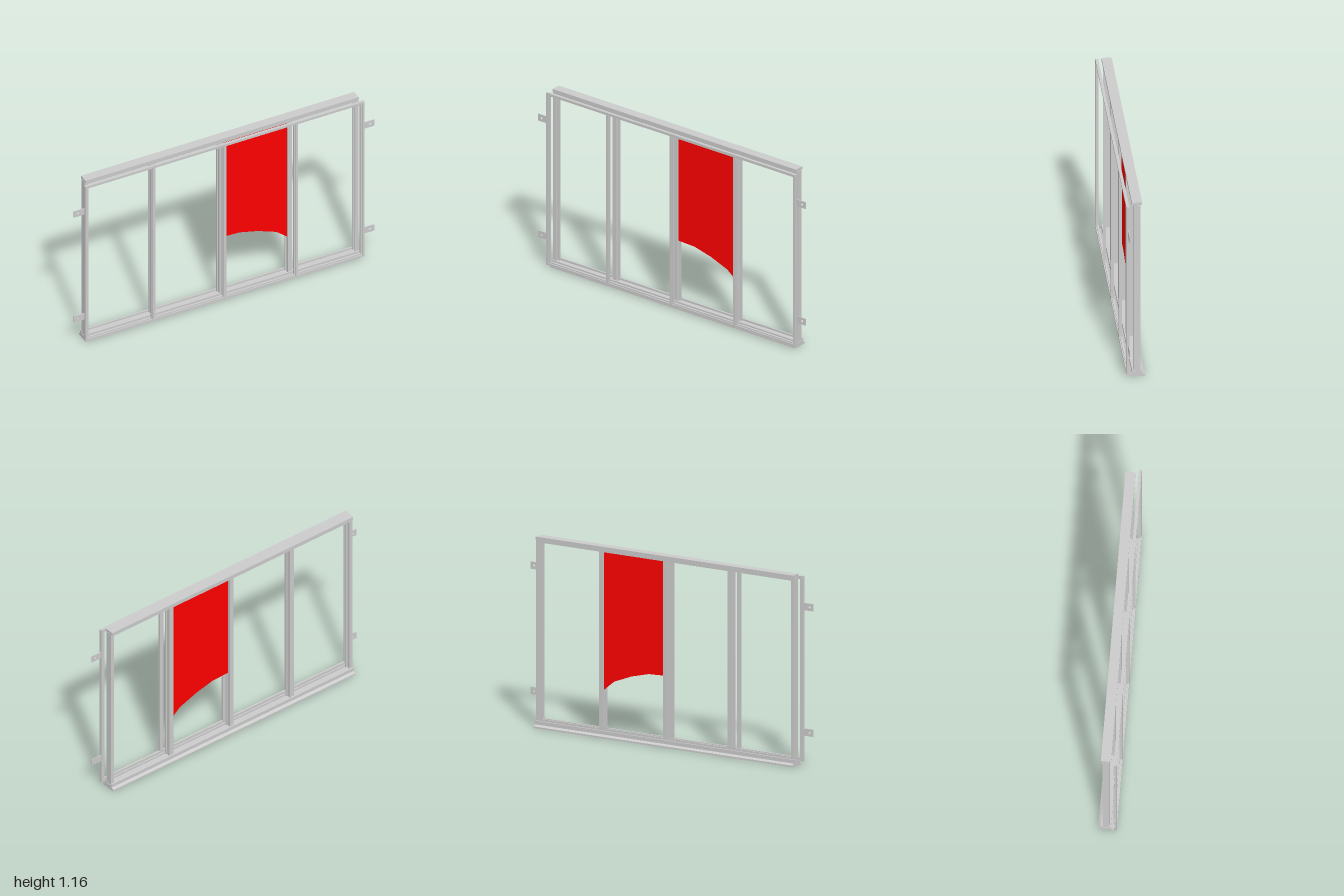
import * as THREE from 'three';

const grey = new THREE.MeshStandardMaterial({ color: 0xcccccc });
const red = new THREE.MeshStandardMaterial({ color: 0xff0000, side: THREE.DoubleSide });

const shapeOf = (pts) => new THREE.Shape(pts.map(([a, b]) => new THREE.Vector2(a, b)));
const extrude = (shape, depth) => new THREE.ExtrudeGeometry(shape, { depth, bevelEnabled: false, curveSegments: 8 });

function add(parent, name, geometry, material = grey) {
  const mesh = new THREE.Mesh(geometry, material);
  mesh.name = name;
  parent.add(mesh);
  return mesh;
}

// Horizontal bar: profile points are [z, y], swept along x and centred
function bar(parent, name, profile, length) {
  const g = extrude(shapeOf(profile), length);
  g.translate(0, 0, -length / 2).rotateY(-Math.PI / 2);
  return add(parent, name, g);
}

// Upright: profile points are [x, z], swept from y0 to y1
function upright(parent, name, profile, x, y0, y1) {
  const g = extrude(shapeOf(profile), y1 - y0);
  g.rotateX(Math.PI / 2).translate(x, y1, 0);
  return add(parent, name, g);
}

// H section with grooves on both sides: half width w, web half width c, depth z0..z1, flange thickness t
const hSection = (w, c, z0, z1, t) => [
  [-w, z0], [w, z0], [w, z0 + t], [c, z0 + t], [c, z1 - t], [w, z1 - t], [w, z1],
  [-w, z1], [-w, z1 - t], [-c, z1 - t], [-c, z0 + t], [-w, z0 + t],
];

// Channel open toward -x, outer face at x = 0
const channel = (w, t, z0, z1) => [
  [0, z0], [0, z1], [-w, z1], [-w, z1 - t], [-t, z1 - t], [-t, z0 + t], [-w, z0 + t], [-w, z0],
];
const mirrorX = (pts) => pts.map(([x, z]) => [-x, z]);

export function createModel() {
  const model = new THREE.Group();

  // Main frame: flared sill, header, posts
  const main = new THREE.Group();
  main.name = 'mainFrame';
  model.add(main);
  bar(main, 'sill', [
    [-0.055, 0], [0.035, 0], [0.035, 0.01], [0.02, 0.02], [0.02, 0.042], [0.012, 0.042],
    [0.012, 0.03], [-0.03, 0.03], [-0.03, 0.042], [-0.04, 0.042], [-0.04, 0.02], [-0.055, 0.01],
  ], 1.83);
  bar(main, 'header', [
    [-0.04, 1.157], [-0.04, 1.14], [-0.03, 1.14], [-0.03, 1.122], [-0.02, 1.122], [-0.02, 1.136],
    [0.002, 1.136], [0.002, 1.122], [0.012, 1.122], [0.012, 1.14], [0.02, 1.14], [0.02, 1.157],
  ], 1.82);
  for (const x of [-0.455, 0, 0.455]) {
    upright(main, 'mullion', hSection(0.014, 0.007, -0.03, 0.012, 0.01), x, 0.03, 1.137);
  }
  const endPost = channel(0.022, 0.009, -0.03, 0.012);
  upright(main, 'endPost', endPost, 0.912, 0.03, 1.14);
  upright(main, 'endPost', mirrorX(endPost), -0.912, 0.03, 1.14);

  // Slim outer frame standing in front
  const outer = new THREE.Group();
  outer.name = 'outerFrame';
  model.add(outer);
  const edge = [[0, 0.037], [0, 0.055], [-0.014, 0.055], [-0.014, 0.049], [-0.023, 0.049], [-0.023, 0.037]];
  upright(outer, 'outerStile', edge, 0.93, 0.02, 1.14);
  upright(outer, 'outerStile', mirrorX(edge), -0.93, 0.02, 1.14);
  const rail = [[0.037, 0], [0.055, 0], [0.055, -0.012], [0.049, -0.012], [0.049, -0.02], [0.037, -0.02]];
  bar(outer, 'topRail', rail, 1.86).position.y = 1.14;
  bar(outer, 'bottomRail', rail.map(([z, y]) => [z, -y]), 1.86).position.y = 0.022;
  const slim = [
    [-0.013, 0.037], [0.013, 0.037], [0.013, 0.049], [0.006, 0.049],
    [0.006, 0.055], [-0.006, 0.055], [-0.006, 0.049], [-0.013, 0.049],
  ];
  for (const x of [-0.475, 0, 0.475]) upright(outer, 'outerMullion', slim, x, 0.03, 1.13);

  // Fixing tabs with a screw hole
  for (const side of [-1, 1]) {
    for (const y of [0.198, 0.958]) {
      const tab = shapeOf([[-0.04, -0.022], [0.04, -0.022], [0.04, 0.022], [-0.04, 0.022]]);
      const hole = new THREE.Path();
      hole.absarc(side * 0.013, 0, 0.007, 0, Math.PI * 2, true);
      tab.holes.push(hole);
      add(outer, 'fixingTab', extrude(tab, 0.005)).position.set(side * 0.96, y, 0.04);
    }
  }

  // Partly lowered blind with a curved lower edge
  const blind = shapeOf([
    [0.01, 1.13], [0.01, 0.425], [0.13, 0.42], [0.25, 0.39], [0.375, 0.342], [0.445, 0.285], [0.445, 1.13],
  ]);
  add(model, 'blind', extrude(blind, 0.003), red).position.z = -0.01;

  return model;
}
